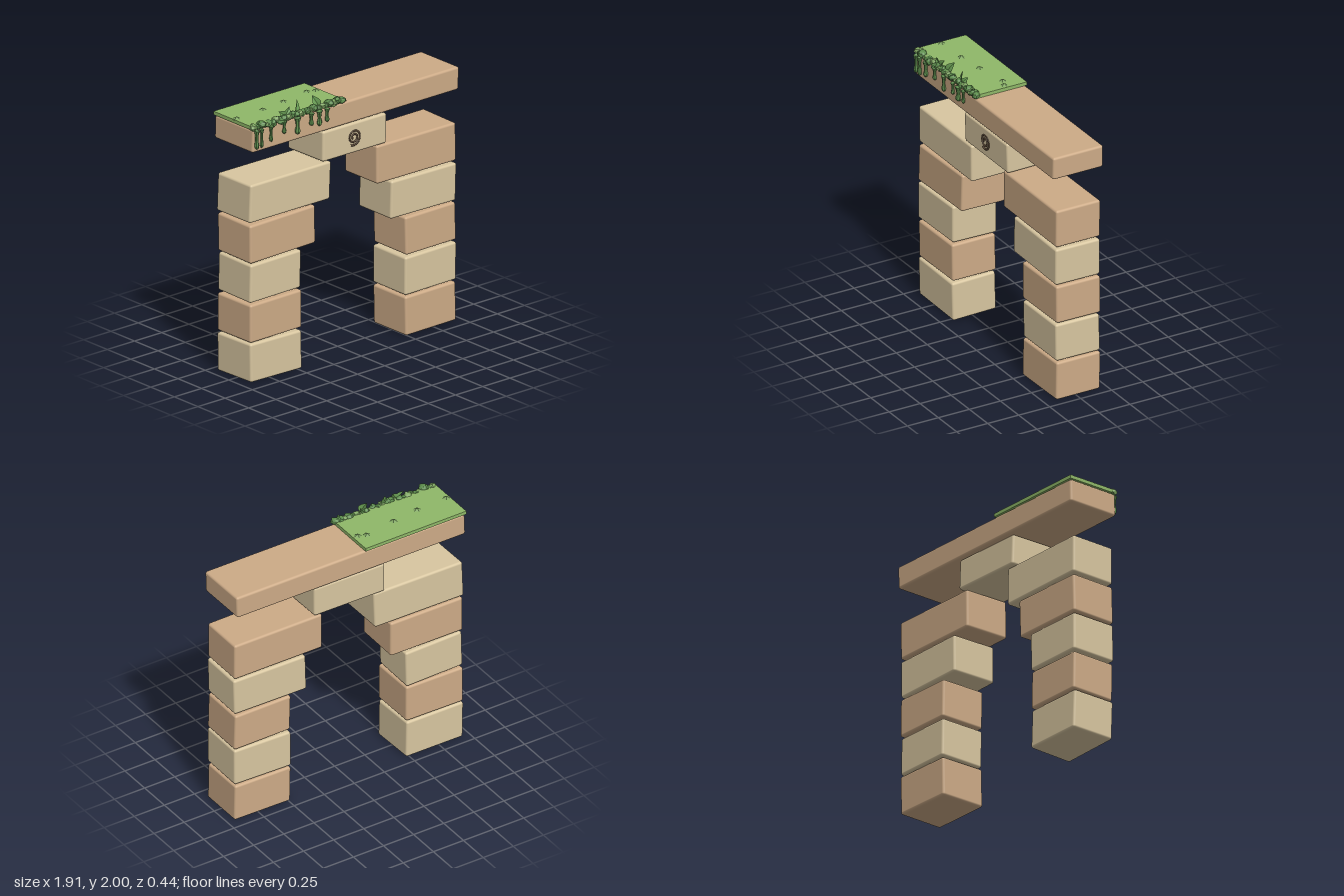
import * as THREE from 'three';
import { RoundedBoxGeometry } from 'three/addons/geometries/RoundedBoxGeometry.js';

const mat = (color, extra = {}) => new THREE.MeshStandardMaterial({ color, ...extra });
const lightStone = mat(0xd8c6a0);
const darkStone = mat(0xcdab87);
const carving = mat(0x5a4636);
const mossTop = mat(0x8fb868);
const mossDark = mat(0x5c8c4c, { flatShading: true });
const mossLight = mat(0x7fa662, { flatShading: true });
const leafMat = mat(0x6a9f55, { flatShading: true, side: THREE.DoubleSide });

// Seeded random numbers in -1..1
let seed = 7;
const rnd = () => {
  seed = (seed * 16807) % 2147483647;
  return (seed / 2147483647) * 2 - 1;
};

function add(parent, name, geometry, material, x = 0, y = 0, z = 0) {
  const mesh = new THREE.Mesh(geometry, material);
  mesh.name = name;
  mesh.position.set(x, y, z);
  parent.add(mesh);
  return mesh;
}

// Rounded block between two corners, its corners slightly out of true
function block(parent, name, [x0, x1], [y0, y1], [z0, z1], material, wobble = 0.004) {
  const w = x1 - x0, h = y1 - y0, d = z1 - z0;
  const geo = new RoundedBoxGeometry(w, h, d, 3, 0.017);
  const p = geo.attributes.position;
  const k = Array.from({ length: 6 }, () => rnd() * wobble);
  for (let i = 0; i < p.count; i++) {
    const x = p.getX(i), y = p.getY(i), z = p.getZ(i);
    const u = (2 * x) / w, v = (2 * y) / h, t = (2 * z) / d;
    p.setXYZ(i, x + k[0] * v + k[1] * t, y + k[2] * u + k[3] * u * t, z + k[4] * v + k[5] * u);
  }
  geo.computeBoundingSphere();
  return add(parent, name, geo, material, (x0 + x1) / 2, (y0 + y1) / 2, (z0 + z1) / 2);
}

// Uneven faceted lump, moved by a rule so shared corners stay together
function lump(parent, name, x, y, z, sx, sy, sz, material) {
  const geo = new THREE.IcosahedronGeometry(1, 1);
  const p = geo.attributes.position;
  const phase = rnd() * 6;
  for (let i = 0; i < p.count; i++) {
    const a = p.getX(i), b = p.getY(i), c = p.getZ(i);
    const s = 1 + 0.2 * Math.sin(5 * a + phase) * Math.cos(4 * b - phase + 3 * c);
    p.setXYZ(i, a * s, b * s, c * s);
  }
  geo.computeVertexNormals();
  const mesh = add(parent, name, geo, material, x, y, z);
  mesh.scale.set(sx, sy, sz);
  mesh.rotation.set(rnd() * 0.4, rnd(), rnd() * 0.35);
}

// Hanging strand of moss with a swollen tip
function drip(parent, x, bottom, r) {
  const len = 1.905 - bottom;
  const profile = [
    [0, 0], [r * 0.7, len * 0.06], [r, len * 0.18], [r * 0.85, len * 0.3],
    [r * 0.6, len * 0.45], [r * 0.7, len * 0.7], [r * 1.2, len * 0.9], [0, len],
  ].map(([a, b]) => new THREE.Vector2(a, b));
  const mesh = add(parent, 'mossDrip', new THREE.LatheGeometry(profile, 7), mossDark, x, bottom, 0.198);
  mesh.scale.z = 0.75;
  mesh.rotation.y = rnd() * 3;
}

// Pointed leaf, folded along its midrib, with its base at the origin
function leaf(parent, x, y, z, length, width, tilt, turn) {
  const geo = new THREE.PlaneGeometry(1, 1, 2, 6);
  const p = geo.attributes.position;
  for (let i = 0; i < p.count; i++) {
    const t = p.getY(i) + 0.5, side = p.getX(i) * 2;
    const half = (width / 2) * Math.sin(Math.PI * Math.pow(t, 0.75));
    p.setXYZ(i, side * half, t * length, Math.abs(side) * half * 0.4 - 0.02 * t * t);
  }
  geo.computeVertexNormals();
  const mesh = add(parent, 'leaf', geo, leafMat, x, y, z);
  mesh.rotation.set(0, turn, tilt);
}

export function createModel() {
  const model = new THREE.Group();
  model.name = 'stoneArch';

  // Two stepped pillars of five blocks in alternating stone
  const rows = [[0.005, 0.293], [0.305, 0.588], [0.603, 0.885], [0.9, 1.18], [1.195, 1.478]];
  const inner = [0.478, 0.478, 0.478, 0.35, 0.215];
  for (const side of [-1, 1]) {
    const pillar = new THREE.Group();
    pillar.name = side < 0 ? 'rightPillar' : 'leftPillar';
    rows.forEach((row, i) => {
      const xs = side < 0 ? [-0.943, -inner[i] + 0.006] : [inner[i] + 0.006, 0.95];
      const light = (i % 2 === 0) === (side < 0);
      block(pillar, 'pillarBlock', xs, row, [-0.188, 0.165], light ? lightStone : darkStone);
    });
    model.add(pillar);
  }

  // Keystone and lintel
  block(model, 'keystone', [-0.288, 0.298], [1.49, 1.717], [-0.198, 0.178], lightStone);
  block(model, 'lintel', [-0.943, 0.95], [1.727, 1.897], [-0.215, 0.19], darkStone);

  // Carved spiral on the keystone
  const points = [];
  for (let i = 0; i <= 40; i++) {
    const t = i / 40, a = -2.1 + t * Math.PI * 3.9, r = 0.061 - 0.047 * t;
    points.push(new THREE.Vector3(Math.cos(a) * r, Math.sin(a) * r, 0));
  }
  const spiral = new THREE.CatmullRomCurve3(points);
  add(model, 'spiralCarving', new THREE.TubeGeometry(spiral, 90, 0.0075, 6), carving, -0.005, 1.61, 0.178);

  // Moss sheet on the right half of the lintel
  const moss = new THREE.Group();
  moss.name = 'moss';
  model.add(moss);
  add(moss, 'mossSheet', new THREE.BoxGeometry(0.835, 0.026, 0.405), mossTop, -0.53, 1.91, -0.02);
  for (const [x, z] of [[-0.92, -0.01], [-0.67, -0.02], [-0.46, -0.045], [-0.21, -0.085], [-0.15, -0.06]]) {
    const tuft = add(moss, 'mossTuft', new THREE.ConeGeometry(0.035, 0.018, 5), mossLight, x, 1.929, z);
    tuft.rotation.y = rnd() * 3;
  }

  // Lumpy moss along the front edge
  const count = 24;
  for (let i = 0; i < count; i++) {
    const x = -0.925 + (0.8 * i) / (count - 1);
    lump(moss, 'mossClump', x, 1.913 + rnd() * 0.009, 0.177 + rnd() * 0.009,
      0.03 + rnd() * 0.007, 0.023 + rnd() * 0.005, 0.03 + rnd() * 0.005, i % 3 ? mossDark : mossLight);
  }

  // Strands hanging over the front
  const drips = [[-0.915, 1.75, 0.02], [-0.868, 1.75, 0.018], [-0.782, 1.775, 0.019], [-0.662, 1.805, 0.019],
    [-0.538, 1.77, 0.022], [-0.412, 1.802, 0.019], [-0.338, 1.782, 0.024], [-0.268, 1.795, 0.018]];
  for (const [x, bottom, r] of drips) drip(moss, x, bottom, r);

  // Leaves sprouting from the moss
  leaf(moss, -0.63, 1.92, 0.17, 0.072, 0.05, 0.85, 0.3);
  leaf(moss, -0.63, 1.92, 0.17, 0.072, 0.05, -0.6, -0.3);
  leaf(moss, -0.54, 1.92, 0.17, 0.098, 0.058, -0.6, 0.3);
  leaf(moss, -0.325, 1.92, 0.175, 0.092, 0.06, 0.5, -0.3);
  leaf(moss, -0.335, 1.92, 0.17, 0.06, 0.045, -0.7, 0.4);

  return model;
}
